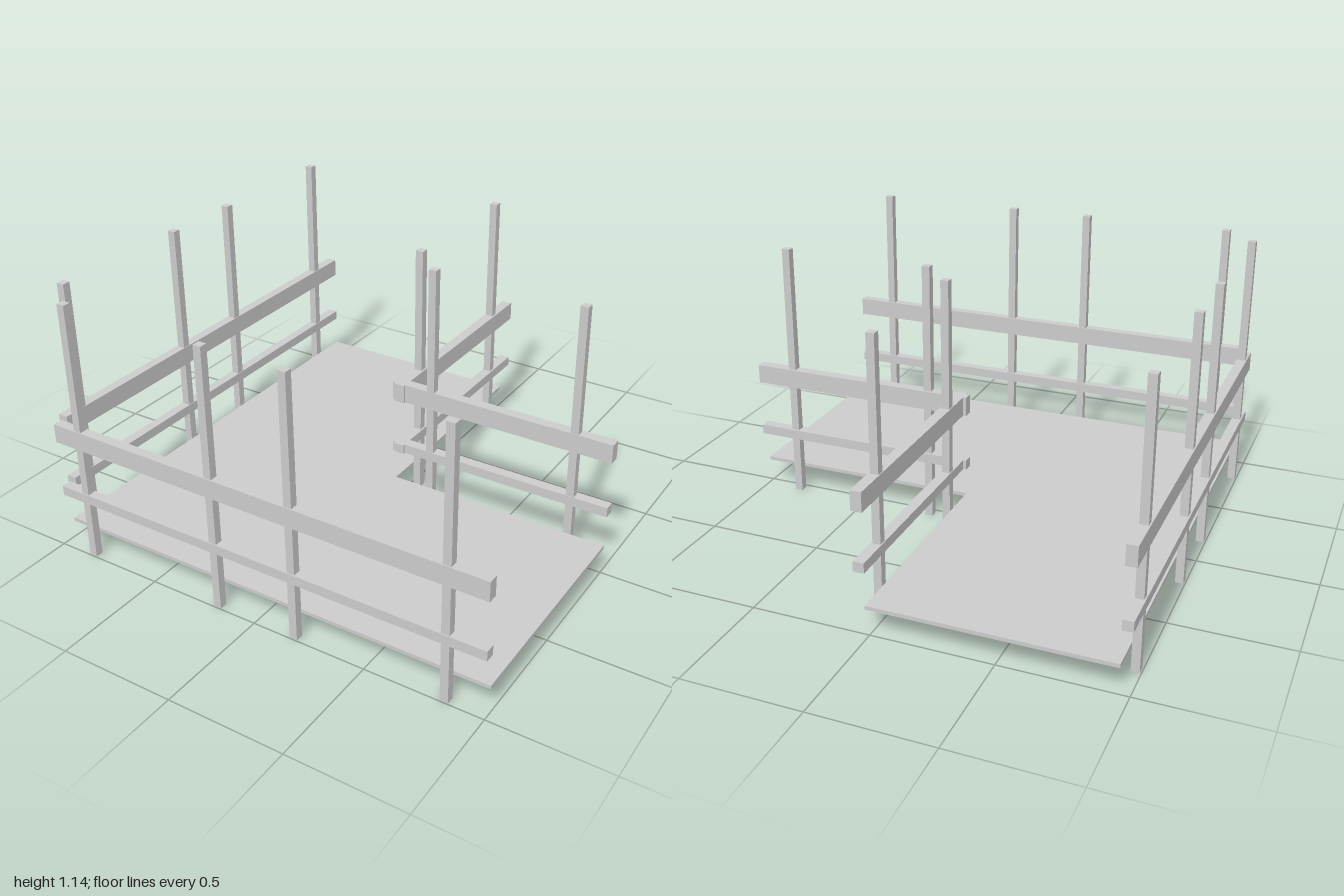
import * as THREE from 'three';

export function createModel() {
  const model = new THREE.Group();
  const material = new THREE.MeshStandardMaterial({ color: 0xcccccc });

  // Box given by its limits along each axis
  function box(parent, name, [x0, x1], [y0, y1], [z0, z1]) {
    const mesh = new THREE.Mesh(new THREE.BoxGeometry(x1 - x0, y1 - y0, z1 - z0), material);
    mesh.position.set((x0 + x1) / 2, (y0 + y1) / 2, (z0 + z1) / 2);
    mesh.name = name;
    parent.add(mesh);
  }

  // L-shaped walkway deck
  const outline = [[-0.96, -1], [0.017, -1], [0.017, -0.017], [1, -0.017], [1, 0.96], [-0.96, 0.96]];
  const shape = new THREE.Shape(outline.map(([x, z]) => new THREE.Vector2(x, -z)));
  const deckGeometry = new THREE.ExtrudeGeometry(shape, { depth: 0.016, bevelEnabled: false });
  deckGeometry.rotateX(-Math.PI / 2);
  const deck = new THREE.Mesh(deckGeometry, material);
  deck.position.y = 0.107;
  deck.name = 'deck';
  model.add(deck);

  // Each railing: plan limits of its rails, and the centres of its posts
  const far = [-0.835, -0.182, 0.182, 0.835];
  const railings = [
    { name: 'outerSideRailing', x: [-1, -0.957], z: [-1, 0.928], posts: far.map((z) => [-0.977, z]) },
    { name: 'outerFrontRailing', x: [-0.957, 1], z: [0.957, 1], posts: far.map((x) => [x, 0.979]) },
    { name: 'innerSideRailing', x: [0.014, 0.06], z: [-1, -0.006], posts: far.slice(0, 2).map((z) => [0.035, z]) },
    { name: 'innerBackRailing', x: [0, 1], z: [-0.062, -0.016], posts: far.slice(2).map((x) => [x, -0.035]) },
  ];

  const half = 0.017;
  for (const { name, x, z, posts } of railings) {
    const railing = new THREE.Group();
    railing.name = name;
    // Deep hand rail above, slim knee rail below
    box(railing, 'handRail', x, [0.51, 0.592], z);
    box(railing, 'kneeRail', x, [0.26, 0.302], z);
    // Square uprights standing just outside the deck edge
    for (const [px, pz] of posts) {
      box(railing, 'post', [px - half, px + half], [0, 1.14], [pz - half, pz + half]);
    }
    model.add(railing);
  }

  return model;
}
